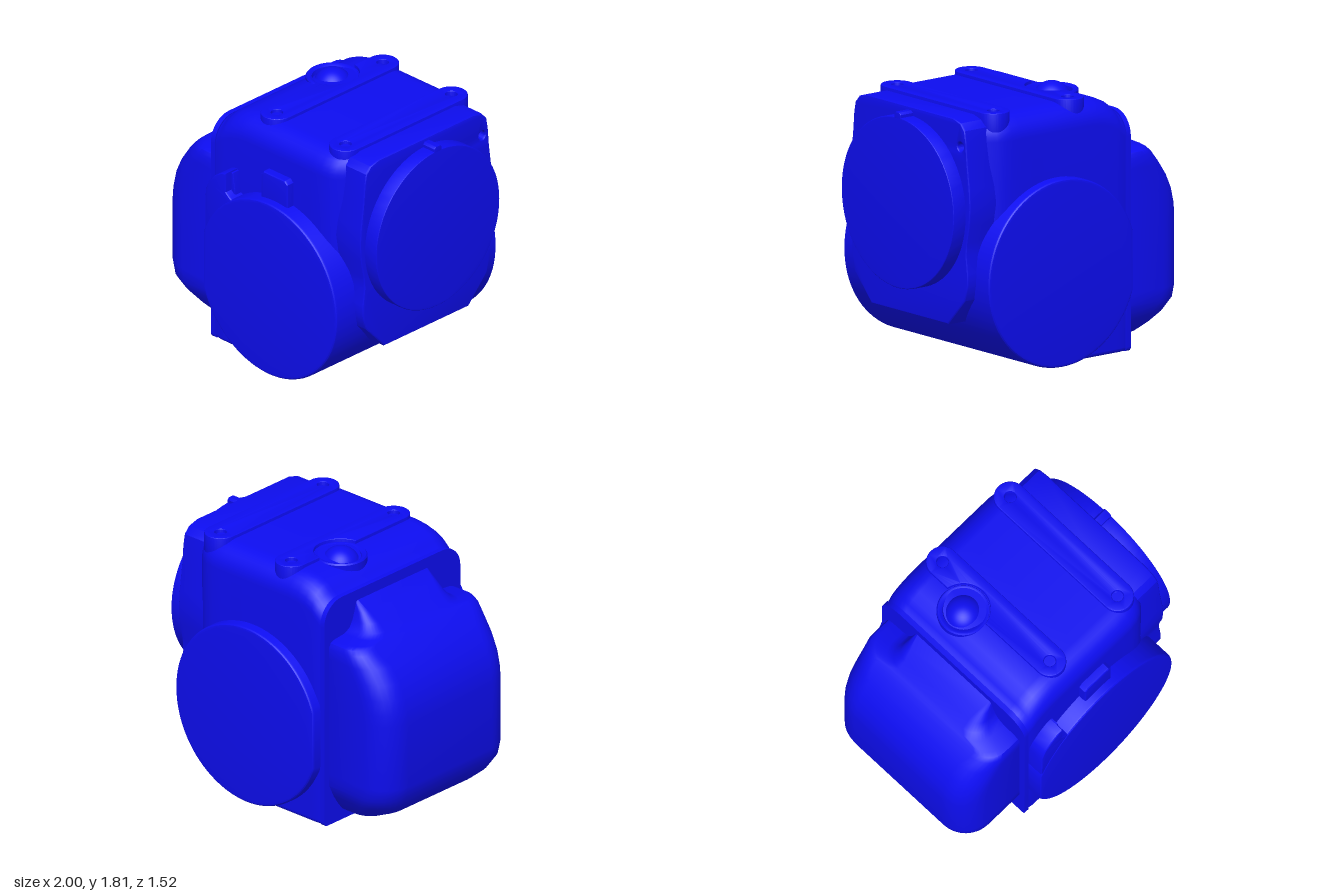
import * as THREE from 'three';
import { toCreasedNormals } from 'three/addons/utils/BufferGeometryUtils.js';

const CZ = -0.023; // depth centre of the housing
const material = new THREE.MeshStandardMaterial({ color: 0x0d0df0 });

// Rounded rectangle as [u, v] points, with separate radii at low and high v
function roundRect(u0, u1, v0, v1, rLow, rHigh, n = 8) {
  const lim = Math.min((u1 - u0) / 2, (v1 - v0) / 2) * 0.98;
  const a = Math.min(rLow, lim), b = Math.min(rHigh, lim);
  const corners = [
    [u1 - a, v0 + a, a, -0.5], [u1 - b, v1 - b, b, 0],
    [u0 + b, v1 - b, b, 0.5], [u0 + a, v0 + a, a, 1],
  ];
  const pts = [];
  for (const [u, v, r, start] of corners) {
    for (let i = 0; i <= n; i++) {
      const t = (start + (0.5 * i) / n) * Math.PI;
      pts.push([u + r * Math.cos(t), v + r * Math.sin(t)]);
    }
  }
  return pts;
}

// Skin over equal-length rings of [x, y, z], closed at both ends
function loft(rings, crease = 0.6) {
  const n = rings[0].length, pos = rings.flat(), idx = [];
  for (let r = 0; r < rings.length - 1; r++) {
    for (let i = 0; i < n; i++) {
      const a = r * n + i, b = r * n + ((i + 1) % n);
      idx.push(a, b, b + n, a, b + n, a + n);
    }
  }
  [0, rings.length - 1].forEach((r, end) => {
    const c = pos.length;
    pos.push([0, 1, 2].map((k) => rings[r].reduce((s, p) => s + p[k], 0) / n));
    for (let i = 0; i < n; i++) {
      const a = r * n + i, b = r * n + ((i + 1) % n);
      if (end) idx.push(a, b, c); else idx.push(b, a, c);
    }
  });
  // turn the faces outward if the enclosed volume is negative
  let volume = 0;
  const v = (i) => new THREE.Vector3(...pos[i]);
  for (let i = 0; i < idx.length; i += 3) volume += v(idx[i]).dot(v(idx[i + 1]).cross(v(idx[i + 2])));
  if (volume < 0) idx.reverse();
  const g = new THREE.BufferGeometry();
  g.setAttribute('position', new THREE.Float32BufferAttribute(pos.flat(), 3));
  g.setIndex(idx);
  return toCreasedNormals(g, crease);
}

// Extrusion between two depths, with a bevel that keeps the outline size
function slab(shape, from, to, bevel = 0.015) {
  const g = new THREE.ExtrudeGeometry(shape, {
    depth: to - from - 2 * bevel, bevelEnabled: bevel > 0, bevelSize: bevel,
    bevelThickness: bevel, bevelOffset: -bevel, bevelSegments: 3, curveSegments: 40,
  });
  g.translate(0, 0, from + bevel);
  return toCreasedNormals(g, 0.5);
}

const polygon = (pts) => new THREE.Shape(pts.map(([x, y]) => new THREE.Vector2(x, y)));
const circlePath = (x, y, r) => new THREE.Path().absarc(x, y, r, 0, Math.PI * 2, true);

export function createModel() {
  const group = new THREE.Group();
  const add = (name, geometry) => {
    const mesh = new THREE.Mesh(geometry, material);
    mesh.name = name;
    group.add(mesh);
    return mesh;
  };

  // Main housing: sections along x, [x, top, half width]
  const drum = { x: 0.175, y: 0.645, r: 0.645 };
  const stations = [
    [-0.45, 1.635, 0.655], [-0.42, 1.645, 0.66], [-0.39, 1.675, 0.665], [-0.35, 1.71, 0.665],
    [-0.29, 1.738, 0.665], [-0.22, 1.757, 0.665], [-0.14, 1.765, 0.665], [0.175, 1.765, 0.665],
    [0.28, 1.765, 0.665], [0.38, 1.765, 0.665], [0.47, 1.765, 0.665], [0.55, 1.765, 0.664],
    [0.61, 1.765, 0.655], [0.66, 1.765, 0.635], [0.7, 1.765, 0.605], [0.73, 1.763, 0.57],
  ];
  add('mainHousing', loft(stations.map(([x, top, w]) => {
    const dx = Math.max(0, x - drum.x);
    const bottom = drum.y + 0.003 - Math.sqrt(drum.r ** 2 - dx ** 2);
    return roundRect(CZ - w, CZ + w, bottom, top, 0.03, 0.17).map(([z, y]) => [x, y, z]);
  })));

  // Thin joint plate between housing and rear cover
  add('jointPlate', loft([-0.472, -0.435].map((x) =>
    roundRect(CZ - 0.667, CZ + 0.667, 0.002, 1.645, 0.03, 0.17).map(([z, y]) => [x, y, z]))));

  // Rounded cover on the -x side: plan sections stacked in y, [y, outer x, half width]
  const cover = [
    [0.065, -0.66, 0.46], [0.08, -0.74, 0.49], [0.13, -0.85, 0.53], [0.2, -0.93, 0.575],
    [0.29, -0.98, 0.618], [0.38, -1, 0.62], [0.85, -1, 0.62], [0.93, -0.993, 0.62],
    [1.03, -0.97, 0.62], [1.13, -0.925, 0.62], [1.23, -0.855, 0.62], [1.31, -0.775, 0.62],
    [1.34, -0.742, 0.605], [1.355, -0.725, 0.57], [1.365, -0.715, 0.47], [1.39, -0.685, 0.42],
    [1.44, -0.63, 0.39], [1.5, -0.56, 0.37], [1.57, -0.47, 0.35],
  ];
  add('sideCover', loft(cover.map(([y, x, w]) =>
    roundRect(CZ - w, CZ + w, x, -0.44, 0.21, 0.001).map(([z, px]) => [px, y, z]))));

  // Horizontal drum through the housing, trimmed flat at the joint plate
  const cut = Math.acos((-0.437 - drum.x) / drum.r);
  add('drum', slab(new THREE.Shape().absarc(drum.x, drum.y, drum.r, -cut, cut), -0.763, 0.76, 0.02));

  // Raised details above the front drum face
  add('frontTab', slab(polygon([
    [0.05, 1.2], [0.3, 1.2], [0.3, 1.45], [0.275, 1.475], [0.075, 1.475], [0.05, 1.45],
  ]), 0.55, 0.7));
  add('frontLug', slab(polygon([
    [-0.425, 0.85], [-0.1, 0.85], [-0.1, 1.15], [-0.19, 1.195], [-0.225, 1.225], [-0.225, 1.365],
    [-0.27, 1.355], [-0.33, 1.315], [-0.39, 1.25], [-0.42, 1.17],
  ]), 0.55, 0.755));
  add('frontLugStep', slab(polygon([
    [-0.27, 1.18], [-0.19, 1.18], [-0.195, 1.24], [-0.21, 1.355], [-0.27, 1.355],
  ]), 0.55, 0.7, 0.008));

  // Waisted mounting flange on the +x side; shape x runs along -z
  const half = [
    [0.45, 1.765], [0.53, 1.742], [0.572, 1.695], [0.586, 1.62], [0.598, 1.48], [0.622, 1.3],
    [0.63, 1.18], [0.62, 1.05], [0.595, 0.93], [0.588, 0.84], [0.604, 0.72], [0.605, 0.64],
    [0.575, 0.53], [0.4, 0.34],
  ];
  const outline = [
    ...half.map(([s, y]) => [s - CZ, y]),
    ...half.slice().reverse().map(([s, y]) => [-s - CZ, y]),
  ].reverse();
  const flange = polygon(outline);
  flange.holes.push(circlePath(0.55, 1.58, 0.03));
  add('mountingFlange', slab(flange, 0.6, 0.895, 0.015).rotateY(Math.PI / 2));

  // Round face plate with a small locating tab on top
  const plate = new THREE.Shape().absarc(-CZ, 1.12, 0.586, 0, Math.PI * 2);
  add('facePlate', slab(plate, 0.85, 1, 0.008).rotateY(Math.PI / 2));
  add('locatingTab', slab(polygon([
    [-CZ - 0.035, 1.66], [-CZ + 0.035, 1.66], [-CZ + 0.035, 1.725],
    [-CZ + 0.02, 1.74], [-CZ - 0.02, 1.74], [-CZ - 0.035, 1.725],
  ]), 0.85, 1, 0.006).rotateY(Math.PI / 2));

  // Two rails with screw holes on top; the first is notched around the dome
  const dome = { x: -0.18, z: -0.215, r: 0.135 };
  const bite = 0.18, zBack = -0.548, zFront = 0.455;
  for (const [name, x, notched] of [['leftRail', 0.605, false], ['rightRail', -0.04, true]]) {
    // shape y is -z, so that rotating lays it flat with its depth upward
    const r = 0.11, rail = new THREE.Shape();
    rail.absarc(x, -zFront, r, Math.PI, Math.PI * 2);
    rail.absarc(x, -zBack, r, 0, Math.PI);
    if (notched) {
      const t = Math.acos((x - r - dome.x) / bite);
      rail.absarc(dome.x, -dome.z, bite, t, -t, true);
    }
    rail.holes.push(circlePath(x, -zFront, 0.04), circlePath(x, -zBack, 0.04));
    add(name, slab(rail, 1.6, 1.79, 0.008).rotateX(-Math.PI / 2));
  }

  // Dome with its seating ring
  add('dome', new THREE.SphereGeometry(dome.r, 40, 24)).position.set(dome.x, 1.68, dome.z);
  const ring = [[0.125, 1.7], [0.14, 1.757], [0.16, 1.768], [0.172, 1.768], [0.18, 1.758], [0.18, 1.68]]
    .map(([r, y]) => new THREE.Vector2(r, y)).reverse();
  const ringMesh = add('domeRing', toCreasedNormals(new THREE.LatheGeometry(ring, 48), 0.6));
  ringMesh.material = material.clone();
  ringMesh.material.side = THREE.DoubleSide;
  ringMesh.position.set(dome.x, 0, dome.z);

  return group;
}
